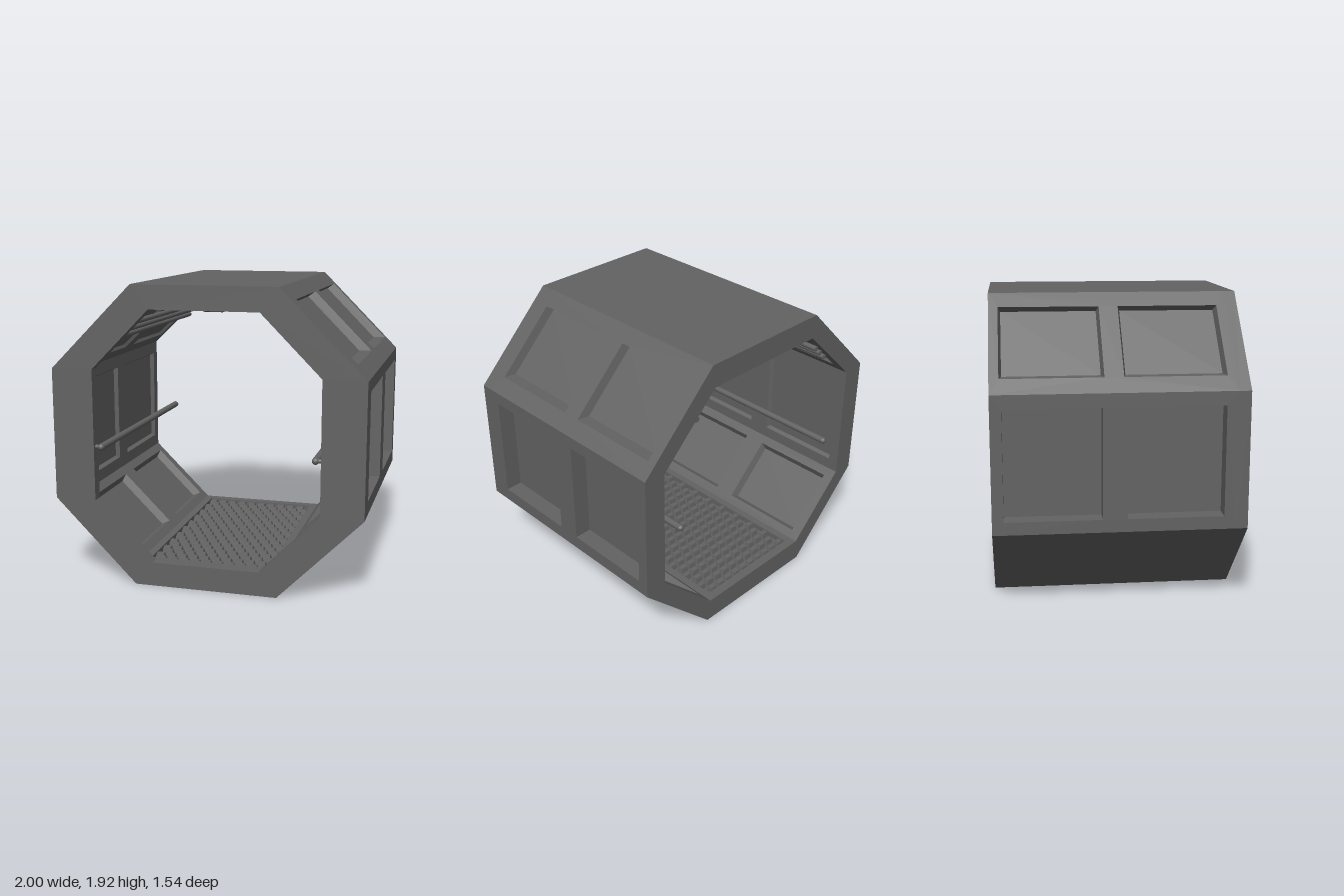
import * as THREE from 'three';
import { mergeGeometries } from 'three/addons/utils/BufferGeometryUtils.js';

const material = new THREE.MeshStandardMaterial({ color: 0x636363, flatShading: true });
const smooth = new THREE.MeshStandardMaterial({ color: 0x636363 });
const BACK = -0.77, FRONT = 0.77, RIM = 0.70;
const SIDE_BAYS = [[-0.70, -0.11], [0.04, 0.625]];
const SLOPE_BAYS = [[-0.712, -0.094], [0.023, 0.64]];

// Counter-clockwise octagon, starting with the bottom edge
const octagon = (a, b, y0, y1, y2, y3) => [
  [-a, y0], [a, y0], [b, y1], [b, y2], [a, y3], [-a, y3], [-b, y2], [-b, y1],
].map(p => new THREE.Vector2(...p));
const outer = octagon(0.463, 1, 0, 0.54, 1.387, 1.925);
const cavity = octagon(0.44, 0.85, 0.155, 0.56, 1.37, 1.773);
const mouth = octagon(0.35, 0.73, 0.155, 0.54, 1.39, 1.773);

// Flat facet from p to q, running along z, with rectangular pockets sunk into it;
// lo and hi move the two long edges of each pocket's floor, inset narrows it in z
function facet(p, q, pockets = [], depth = 0, inset = 0, lo = inset, hi = -inset) {
  const t = q.clone().sub(p), len = t.length();
  t.normalize();
  const rect = (s0, s1, z0, z1) => [[s0, z0], [s1, z0], [s1, z1], [s0, z1]].map(c => new THREE.Vector2(...c));
  const shape = new THREE.Shape(rect(0, len, BACK, RIM));
  const pos = [];
  for (const [s0, s1, z0, z1] of pockets) {
    const top = rect(s0, s1, z0, z1);
    shape.holes.push(new THREE.Path(top));
    const a = top.map(c => [c.x, c.y, 0]);
    const f = rect(s0 + lo, s1 + hi, z0 + inset, z1 - inset).map(c => [c.x, c.y, -depth]);
    const quad = (A, B, C, D) => pos.push(...A, ...B, ...C, ...A, ...C, ...D);
    for (let i = 0; i < 4; i++) quad(a[i], a[(i + 1) % 4], f[(i + 1) % 4], f[i]);
    quad(...f);
  }
  const parts = [new THREE.ShapeGeometry(shape).toNonIndexed()];
  parts[0].deleteAttribute('uv');
  if (pos.length) {
    const g = new THREE.BufferGeometry();
    g.setAttribute('position', new THREE.Float32BufferAttribute(pos, 3));
    g.computeVertexNormals();
    parts.push(g);
  }
  const basis = new THREE.Matrix4().makeBasis(
    new THREE.Vector3(t.x, t.y, 0), new THREE.Vector3(0, 0, 1), new THREE.Vector3(t.y, -t.x, 0));
  basis.setPosition(p.x, p.y, 0);
  return mergeGeometries(parts).applyMatrix4(basis);
}

const ring = hole => {
  const s = new THREE.Shape(outer);
  s.holes.push(new THREE.Path(hole));
  return s;
};

const bays = (list, s0, s1) => list.map(([a, b]) => [s0, s1, a, b]);

export function createModel() {
  const root = new THREE.Group();
  const add = (name, geo, mat = material, x = 0, y = 0, z = 0) => {
    const m = new THREE.Mesh(geo, mat);
    m.name = name;
    m.position.set(x, y, z);
    root.add(m);
  };

  // Outer skin: plain top, floor and lower slopes; pockets on sides and upper slopes
  const skin = outer.map((p, i) => {
    const q = outer[(i + 1) % 8], len = p.distanceTo(q);
    if (i === 2 || i === 6) return facet(p, q, bays(SIDE_BAYS, 0.087, len - 0.08), 0.11);
    const slope = bays(SLOPE_BAYS, 0.113, len - 0.113);
    if (i === 3) return facet(p, q, slope, 0.055, 0.015, 0.055, 0.008);
    if (i === 5) return facet(p, q, slope, 0.055, 0.015, -0.008, -0.055);
    return facet(p, q);
  });
  add('outerShell', mergeGeometries(skin));

  // Inner lining, facing inwards
  const lining = cavity.map((q, i) => {
    const p = cavity[(i + 1) % 8], len = p.distanceTo(q);
    if (i === 0) return facet(p, q, [[0.05, len - 0.05, -0.71, 0.67]], 0.04);
    if (i === 4) return facet(p, q, [...bays(SIDE_BAYS, 0.05, 0.29), ...bays(SIDE_BAYS, len - 0.29, len - 0.05)], 0.02, 0.015);
    if (i === 1 || i === 7) return facet(p, q, bays(SIDE_BAYS, 0.06, len - 0.06), 0.05, 0.02);
    if (i === 2 || i === 6) return facet(p, q, bays(SIDE_BAYS, 0.08, len - 0.08), 0.025, 0.015);
    return facet(p, q, bays(SIDE_BAYS, 0.09, len - 0.09), 0.02, 0.01);
  });
  add('innerLining', mergeGeometries(lining));

  // End frames: narrow mouth at the front, wider opening at the back
  add('frontRim', new THREE.ExtrudeGeometry(ring(mouth), { depth: FRONT - RIM, bevelEnabled: false }), material, 0, 0, RIM);
  add('backRim', new THREE.ShapeGeometry(ring(cavity)).rotateY(Math.PI), material, 0, 0, BACK);

  // Floor grating: staggered rows of small tapered treads
  const treads = [];
  for (let r = 0; r < 20; r++) {
    for (let c = 0; c < 10; c++) {
      const g = new THREE.CylinderGeometry(0.5, 0.7, 0.038, 4).rotateY(Math.PI / 4).scale(0.066, 1, 0.046);
      treads.push(g.translate((c - 4.5) * 0.076 + (r % 2 ? 0.018 : -0.018), 0.134, -0.675 + r * 0.0693));
    }
  }
  add('floorGrating', mergeGeometries(treads));

  // Ceiling lamps, one per bay, with sloping sides and ends
  for (const [a, b] of SIDE_BAYS) {
    const lamp = new THREE.BoxGeometry(0.22, 0.03, b - a - 0.08);
    const v = lamp.attributes.position;
    for (let i = 0; i < v.count; i++) {
      if (v.getY(i) < 0) v.setXYZ(i, v.getX(i) * 0.55, v.getY(i), v.getZ(i) * 0.82);
    }
    lamp.computeVertexNormals();
    add('ceilingLamp', lamp, material, 0, 1.76, (a + b) / 2);
  }

  // Handrails, each fixed to the front rim by a short bracket
  for (const side of [-1, 1]) {
    add('handrail', new THREE.CapsuleGeometry(0.022, 1.484, 6, 16).rotateX(Math.PI / 2), smooth, side * 0.692, 0.887, 0);
    add('railBracket', new THREE.CylinderGeometry(0.014, 0.014, 0.05, 12).rotateZ(Math.PI / 2), smooth, side * 0.715, 0.887, 0.735);
  }

  // Three pipes along the right upper slope
  for (let i = 0; i < 3; i++) {
    const x = -0.49 - i * 0.045, y = 1.68 - i * 0.045;
    add('pipe', new THREE.CylinderGeometry(0.017, 0.017, 1.47, 14).rotateX(Math.PI / 2), smooth, x, y, -0.035);
  }

  // Ribbed hose on the left upper slope
  add('hose', new THREE.CylinderGeometry(0.016, 0.016, 0.24, 12).rotateX(Math.PI / 2), smooth, 0.575, 1.61, -0.64);
  for (let i = 0; i < 7; i++) {
    add('hoseRib', new THREE.TorusGeometry(0.017, 0.008, 6, 14), smooth, 0.575, 1.61, -0.742 + i * 0.034);
  }
  return root;
}
